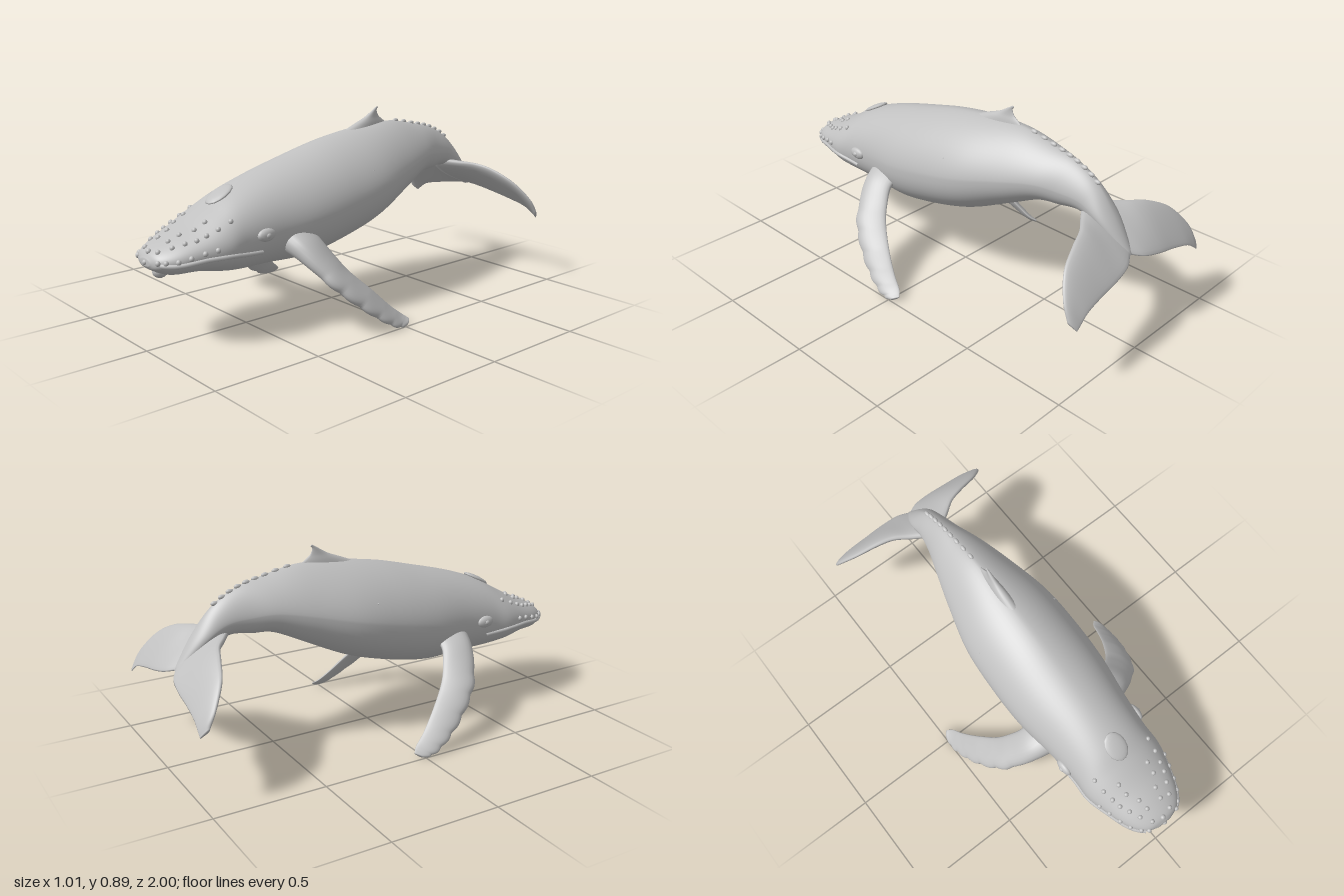
import * as THREE from 'three';

const skin = new THREE.MeshStandardMaterial({ color: 0xc0c0c0 });
skin.name = 'grey skin';

const V = (a) => new THREE.Vector3(...a);
const spline = (pts) => new THREE.CatmullRomCurve3(pts.map(V), false, 'catmullrom', 0.5);

// Closed smooth skin over rings of points, with capped ends and outward faces
function loft(rings) {
  const n = rings[0].length, last = rings.length - 1, pts = rings.flat(), idx = [];
  for (let i = 0; i < last; i++) {
    for (let j = 0; j < n; j++) {
      const a = i * n + j, b = i * n + (j + 1) % n;
      idx.push(a, b, a + n, b, b + n, a + n);
    }
  }
  for (const r of [0, last]) {
    const centre = new THREE.Vector3();
    rings[r].forEach((p) => centre.addScaledVector(p, 1 / n));
    pts.push(centre);
    for (let j = 0; j < n; j++) {
      const a = r * n + j, b = r * n + (j + 1) % n;
      idx.push(pts.length - 1, r ? a : b, r ? b : a);
    }
  }
  let volume = 0;
  const cross = new THREE.Vector3();
  for (let i = 0; i < idx.length; i += 3) {
    volume += pts[idx[i]].dot(cross.crossVectors(pts[idx[i + 1]], pts[idx[i + 2]]));
  }
  if (volume < 0) idx.reverse();
  const g = new THREE.BufferGeometry().setFromPoints(pts);
  g.setIndex(idx);
  g.computeVertexNormals();
  return g;
}

// Fin from sections [leading point, trailing point, thickness]
function blade(sections, side = 1, ripple = () => 0, steps = 60) {
  const flip = (p) => [p[0] * side, p[1], p[2]];
  const lead = spline(sections.map((s) => flip(s[0])));
  const trail = spline(sections.map((s) => flip(s[1])));
  const thick = spline(sections.map((s) => [s[2], 0, 0]));
  const mid = (u) => lead.getPoint(u).add(trail.getPoint(u));
  const rings = [];
  for (let i = 0; i <= steps; i++) {
    const u = i / steps, a = lead.getPoint(u), b = trail.getPoint(u);
    const chord = b.clone().sub(a).normalize();
    const span = mid(Math.min(1, u + 0.02)).sub(mid(Math.max(0, u - 0.02)));
    const normal = chord.clone().cross(span).normalize();
    a.addScaledVector(chord, -ripple(u));
    const ring = [], t = thick.getPoint(u).x / 2;
    for (let j = 0; j < 24; j++) {
      const f = j / 24 * Math.PI * 2;
      ring.push(a.clone().lerp(b, 0.5 - 0.5 * Math.cos(f))
        .addScaledVector(normal, t * Math.sin(f) * (1 + 0.35 * Math.cos(f))));
    }
    rings.push(ring);
  }
  return loft(rings);
}

// Body stations: top z, top y, bottom z, bottom y, half width, height of widest point, back roundness
const stations = [
  [0.99, 0.41, 0.99, 0.38, 0.035, 0.5, 2],
  [0.965, 0.44, 0.97, 0.36, 0.09, 0.5, 2],
  [0.9, 0.475, 0.91, 0.335, 0.14, 0.5, 2],
  [0.8, 0.52, 0.8, 0.33, 0.178, 0.48, 2],
  [0.7, 0.575, 0.7, 0.31, 0.204, 0.45, 2],
  [0.6, 0.63, 0.6, 0.295, 0.203, 0.45, 2],
  [0.45, 0.685, 0.45, 0.292, 0.215, 0.46, 1.9],
  [0.25, 0.74, 0.25, 0.288, 0.242, 0.47, 1.8],
  [0.05, 0.79, 0.05, 0.325, 0.246, 0.46, 1.7],
  [-0.15, 0.82, -0.15, 0.385, 0.232, 0.45, 1.6],
  [-0.35, 0.83, -0.35, 0.48, 0.18, 0.42, 1.5],
  [-0.52, 0.8, -0.5, 0.55, 0.13, 0.42, 1.5],
  [-0.65, 0.765, -0.6, 0.56, 0.092, 0.42, 1.5],
  [-0.76, 0.7, -0.69, 0.57, 0.07, 0.45, 1.6],
  [-0.85, 0.59, -0.79, 0.54, 0.06, 0.5, 1.8],
  [-0.94, 0.45, -0.92, 0.44, 0.02, 0.5, 2],
];
const topLine = spline(stations.map((s) => [0, s[1], s[0]]));
const bottomLine = spline(stations.map((s) => [0, s[3], s[2]]));
const shapeLine = spline(stations.map((s) => s.slice(4)));

// Point on the body at a fractional station and an angle in degrees (0 = side, 90 = back)
function bodyPoint(station, degrees) {
  const u = station / (stations.length - 1), a = degrees * Math.PI / 180;
  const top = topLine.getPoint(u), bottom = bottomLine.getPoint(u), s = shapeLine.getPoint(u);
  const c = Math.cos(a), h = Math.sin(a), e = 2 / (h > 0 ? s.z : 2.25);
  const rise = Math.pow(Math.abs(h), e);
  const p = bottom.clone().lerp(top, h > 0 ? s.y + (1 - s.y) * rise : s.y * (1 - rise));
  p.x = s.x * Math.sign(c) * Math.pow(Math.abs(c), e);
  return p;
}

export function createModel() {
  const whale = new THREE.Group();
  whale.name = 'whale';
  const add = (name, geometry, parent = whale) => {
    const m = new THREE.Mesh(geometry, skin);
    m.name = name;
    parent.add(m);
    return m;
  };
  const lump = (name, p, sx, sy, sz, parent) => {
    const m = add(name, new THREE.SphereGeometry(1, 14, 10), parent);
    m.position.copy(p);
    m.scale.set(sx, sy, sz);
    return m;
  };

  // Body
  const rings = [];
  for (let i = 0; i <= 120; i++) {
    const ring = [];
    for (let j = 0; j < 64; j++) ring.push(bodyPoint(i / 120 * (stations.length - 1), j / 64 * 360));
    rings.push(ring);
  }
  add('body', loft(rings));
  lump('chin', V([0, 0.345, 0.92]), 0.03, 0.03, 0.035);
  lump('blowholeMound', bodyPoint(4.8, 90), 0.05, 0.014, 0.07).rotation.x = 0.5;

  // Dorsal fin and the knobs along the tail ridge
  add('dorsalFin', blade([
    [[0, 0.785, -0.02], [0, 0.8, -0.37], 0.06],
    [[0, 0.83, -0.13], [0, 0.835, -0.325], 0.042],
    [[0, 0.86, -0.205], [0, 0.86, -0.292], 0.024],
    [[0, 0.89, -0.255], [0, 0.885, -0.28], 0.012],
    [[0, 0.905, -0.28], [0, 0.9, -0.288], 0.005],
  ]));
  const ridge = new THREE.Group();
  ridge.name = 'tailRidge';
  whale.add(ridge);
  for (let i = 0; i < 9; i++) lump('ridgeKnob', bodyPoint(10.3 + i * 0.32, 90), 0.01, 0.011, 0.018, ridge);

  // Head knobs as [station, angle] in three rows per side
  const knobs = [
    [0.8, 8], [1.3, 5], [1.9, 4], [2.4, 6], [2.9, 8], [3.4, 8],
    [1.2, 60], [1.9, 52], [2.4, 47], [2.8, 42], [3.2, 42], [3.7, 42], [4.3, 42],
    [2.0, 74], [2.5, 73], [3.0, 64], [3.5, 65],
  ];
  const headKnobs = new THREE.Group();
  headKnobs.name = 'headKnobs';
  whale.add(headKnobs);
  lump('headKnob', bodyPoint(0.9, 90), 0.012, 0.012, 0.012, headKnobs);
  lump('headKnob', V([0, 0.395, 0.987]), 0.012, 0.012, 0.012, headKnobs);

  for (const side of [1, -1]) {
    const label = side > 0 ? 'left' : 'right';
    const onSide = (s, a) => {
      const p = bodyPoint(s, a);
      p.x *= side;
      return p;
    };
    for (const [s, a] of knobs) lump('headKnob', onSide(s, a), 0.011, 0.012, 0.011, headKnobs);

    // Lip, eye and the small flank spike
    const lip = [];
    for (let s = 1; s <= 5.4; s += 0.4) lip.push(onSide(s, s > 4 ? -8 - (s - 4) * 8 : -8));
    add(label + 'Lip', new THREE.TubeGeometry(new THREE.CatmullRomCurve3(lip), 40, 0.01, 8));
    lump(label + 'EyeBulge', onSide(5.5, 3), 0.02, 0.028, 0.045);
    lump(label + 'Eye', onSide(5.5, 3).add(V([side * 0.014, 0, 0])), 0.01, 0.012, 0.014);
    const spike = add(label + 'FlankSpike', new THREE.ConeGeometry(0.013, 0.04, 10));
    spike.position.set(side * 0.198, 0.653, -0.07);
    spike.scale.z = 1.6;
    spike.rotation.z = -side * 1.3;

    // Pectoral fin with a knobbly leading edge
    add(label + 'PectoralFin', blade([
      [[0.17, 0.41, 0.44], [0.17, 0.43, 0.25], 0.11],
      [[0.25, 0.37, 0.415], [0.235, 0.4, 0.26], 0.09],
      [[0.325, 0.315, 0.38], [0.29, 0.335, 0.23], 0.068],
      [[0.4, 0.235, 0.315], [0.335, 0.27, 0.19], 0.055],
      [[0.453, 0.145, 0.22], [0.39, 0.185, 0.11], 0.045],
      [[0.485, 0.072, 0.125], [0.428, 0.105, 0.035], 0.034],
      [[0.498, 0.027, 0.045], [0.45, 0.058, -0.02], 0.024],
      [[0.496, 0.02, -0.015], [0.474, 0.037, -0.045], 0.012],
    ], side, (u) => (u > 0.35 ? 0.009 * Math.abs(Math.sin((u - 0.35) * 29)) : 0), 90));

    // Tail fluke
    add(label + 'Fluke', blade([
      [[0, 0.6, -0.68], [0, 0.45, -0.935], 0.06],
      [[0.095, 0.59, -0.745], [0.06, 0.43, -0.968], 0.05],
      [[0.17, 0.583, -0.8], [0.15, 0.41, -0.982], 0.042],
      [[0.25, 0.563, -0.832], [0.24, 0.393, -0.986], 0.036],
      [[0.35, 0.51, -0.872], [0.34, 0.368, -0.993], 0.028],
      [[0.418, 0.425, -0.93], [0.39, 0.337, -0.998], 0.02],
      [[0.434, 0.355, -0.968], [0.412, 0.32, -0.999], 0.012],
    ], side));
  }
  return whale;
}
